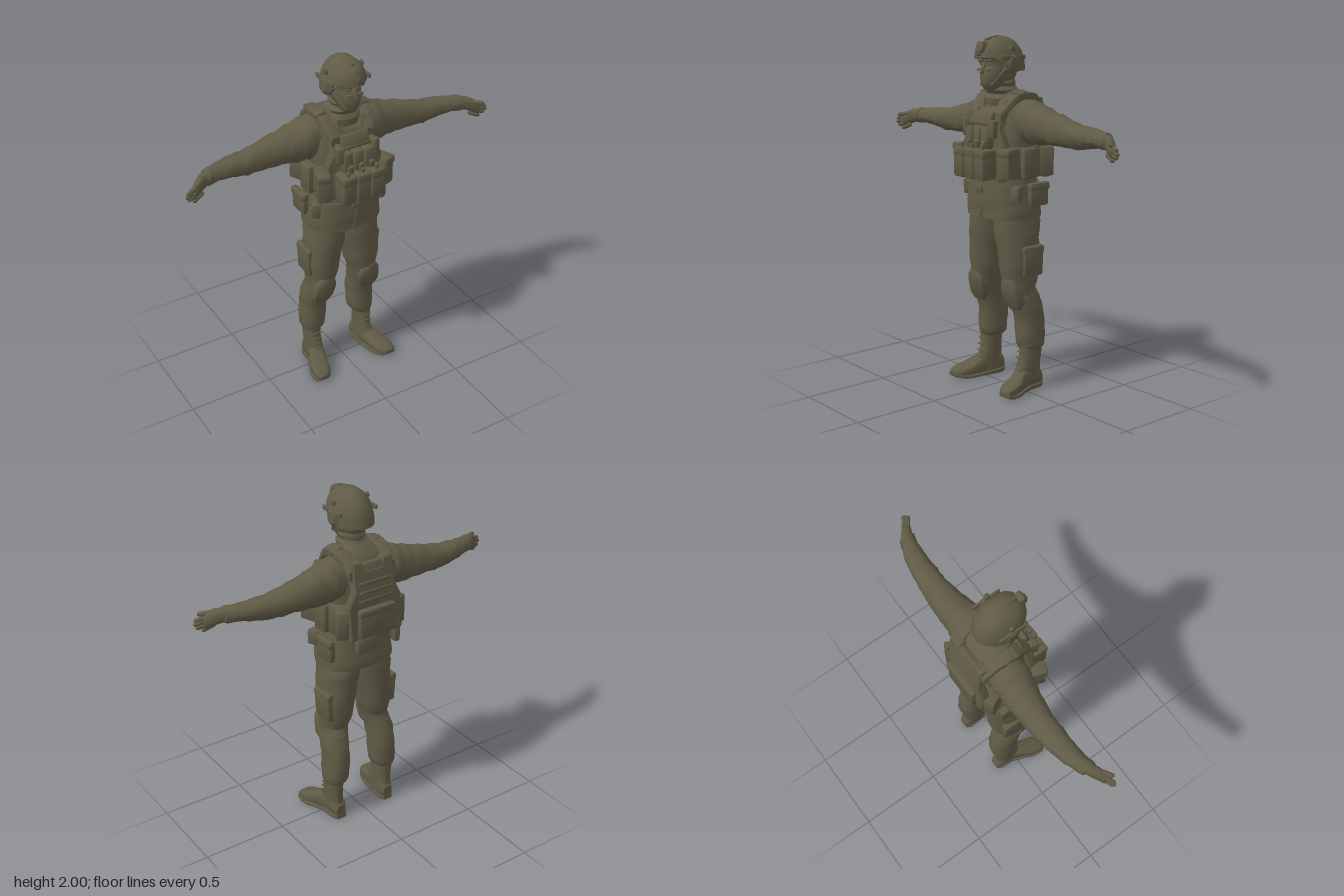
import * as THREE from 'three';
import { toCreasedNormals } from 'three/addons/utils/BufferGeometryUtils.js';
import { RoundedBoxGeometry } from 'three/addons/geometries/RoundedBoxGeometry.js';

const olive = new THREE.MeshStandardMaterial({ color: 0x605b46, side: THREE.DoubleSide });
olive.name = 'olive drab';

// Skin over cross-sections along an axis. Each section: [position, minA, maxA, minB, maxB],
// where A, B are (x, z) for axis y, (y, z) for axis x and (x, y) for axis z.
function loft(axis, sections, { n = 16, power = 2.4, steps = 1, fold = 0 } = {}) {
  const rings = [];
  sections.forEach((s, i) => {
    const next = sections[i + 1];
    if (!next) return rings.push(s);
    for (let k = 0; k < steps; k++) rings.push(s.map((v, j) => v + (next[j] - v) * k / steps));
  });
  const place = (t, a, b) => axis === 'y' ? [a, t, b] : axis === 'x' ? [t, a, b] : [a, b, t];
  const pos = [], index = [];
  const bend = (v) => Math.sign(v) * Math.pow(Math.abs(v), 2 / power);
  rings.forEach(([t, a0, a1, b0, b1], i) => {
    for (let j = 0; j < n; j++) {
      const q = j / n * Math.PI * 2;
      // cloth folds: slanted ridges running around the limb
      const k = 1 + fold * Math.sin(i * 2.3 + 2 * Math.sin(q + i * 0.7)) * Math.cos(q * 2 + i * 1.1);
      const v = bend(Math.sin(q)) * (axis === 'y' ? -1 : 1);
      pos.push(...place(t, (a0 + a1) / 2 + (a1 - a0) / 2 * k * bend(Math.cos(q)),
        (b0 + b1) / 2 + (b1 - b0) / 2 * k * v));
    }
  });
  for (let i = 0; i < rings.length - 1; i++) for (let j = 0; j < n; j++) {
    const a = i * n + j, b = i * n + (j + 1) % n;
    index.push(a, b, b + n, a, b + n, a + n);
  }
  // end caps
  const last = (rings.length - 1) * n, c = rings.length * n;
  for (const [t, a0, a1, b0, b1] of [rings[0], rings[rings.length - 1]])
    pos.push(...place(t, (a0 + a1) / 2, (b0 + b1) / 2));
  for (let j = 0; j < n; j++) {
    const k = (j + 1) % n;
    index.push(c, k, j, c + 1, last + j, last + k);
  }
  const g = new THREE.BufferGeometry();
  g.setAttribute('position', new THREE.Float32BufferAttribute(pos, 3));
  g.setIndex(index);
  return g;
}

function box(x, y, z, w, h, d, { rx = 0, ry = 0, rz = 0, r = 0.012 } = {}) {
  return new RoundedBoxGeometry(w, h, d, 1, Math.min(r, w / 3, h / 3, d / 3))
    .rotateX(rx).rotateY(ry).rotateZ(rz).translate(x, y, z);
}

// Rounded bar between two points
function bar(a, b, r) {
  const p = new THREE.Vector3(...a), q = new THREE.Vector3(...b), d = q.clone().sub(p);
  const g = new THREE.CapsuleGeometry(r, d.length(), 3, 8);
  g.applyQuaternion(new THREE.Quaternion().setFromUnitVectors(new THREE.Vector3(0, 1, 0), d.normalize()));
  return g.translate(...p.add(q).multiplyScalar(0.5).toArray());
}

function mirrored(geo) {
  const g = geo.index ? geo.toNonIndexed() : geo.clone();
  const p = g.attributes.position;
  for (let i = 0; i < p.count; i += 3) {
    const v = [0, 2, 1].map((k) => [-p.getX(i + k), p.getY(i + k), p.getZ(i + k)]);
    v.forEach((c, k) => p.setXYZ(i + k, ...c));
  }
  return g;
}

export function createModel() {
  const model = new THREE.Group();
  model.name = 'soldier';
  const add = (name, geo) => {
    for (const k of ['uv', 'normal']) geo.deleteAttribute(k);
    const mesh = new THREE.Mesh(toCreasedNormals(geo, 0.6), olive);
    mesh.name = name;
    model.add(mesh);
  };
  const pair = (name, geo) => {
    const other = mirrored(geo);
    add('left' + name, geo);
    add('right' + name, other);
  };

  // Jacket
  add('torso', loft('y', [[1.16, -.195, .195, -.16, .15], [1.28, -.185, .185, -.15, .13],
    [1.42, -.19, .19, -.165, .12], [1.54, -.195, .195, -.18, .11], [1.62, -.18, .18, -.16, .08],
    [1.67, -.14, .14, -.13, .05], [1.71, -.07, .07, -.08, .05]], { n: 20 }));
  add('jacketSkirt', loft('y', [[1.0, -.22, .22, -.175, .155], [1.05, -.222, .222, -.175, .157],
    [1.12, -.21, .21, -.165, .16], [1.22, -.19, .19, -.155, .155]], { n: 20, power: 2.7, steps: 2, fold: .015 }));
  add('jacketPlacket', box(0, 1.07, .158, .02, .14, .008, { r: .002 }));

  // Belt and its pouches
  add('belt', loft('y', [[1.135, -.212, .212, -.172, .168], [1.19, -.205, .205, -.168, .166]], { n: 20, power: 2.8 }));
  add('beltBuckle', box(0, 1.163, .168, .06, .045, .014));
  pair('BeltPouch', box(.222, 1.135, -.07, .04, .13, .13, { r: .014 }));
  pair('BeltPouchFlap', box(.228, 1.18, -.07, .04, .045, .138));
  pair('FrontBeltPouch', box(.205, 1.145, .07, .05, .09, .07, { ry: .5 }));
  add('rearBeltPouch', box(.03, 1.15, -.175, .13, .09, .04));

  // Neck scarf
  add('scarf', loft('y', [[1.62, -.10, .10, -.11, .09], [1.66, -.105, .105, -.105, .1],
    [1.685, -.08, .08, -.085, .085], [1.705, -.09, .09, -.085, .095], [1.725, -.068, .068, -.07, .08],
    [1.745, -.076, .076, -.075, .09], [1.77, -.06, .06, -.065, .07]], { n: 14, power: 2, fold: .05 }));

  // Masked head
  add('head', loft('y', [[1.705, -.04, .04, -.01, .115], [1.735, -.06, .06, -.05, .138],
    [1.78, -.075, .075, -.08, .143], [1.82, -.08, .08, -.09, .136], [1.84, -.08, .08, -.09, .124],
    [1.865, -.082, .082, -.09, .126], [1.885, -.085, .085, -.09, .142], [1.93, -.08, .08, -.09, .13]], { n: 16, power: 2.2 }));
  add('nose', bar([0, 1.85, .128], [0, 1.805, .148], .011));
  add('maskEdge', box(0, 1.818, .134, .1, .012, .02, { r: .004 }));
  pair('Eye', box(.031, 1.847, .122, .026, .01, .009, { ry: .25, r: .002 }));
  pair('Brow', box(.034, 1.869, .128, .048, .012, .02, { ry: .28, rz: .12, r: .004 }));

  // Helmet: a dome whose rim rises over the face
  const dome = new THREE.SphereGeometry(1, 24, 8, 0, Math.PI * 2, 0, Math.PI / 2);
  const dp = dome.attributes.position;
  for (let i = 0; i < dp.count; i++) {
    const x = dp.getX(i), y = dp.getY(i), z = dp.getZ(i);
    const ahead = z / (Math.hypot(x, z) || 1);
    const rim = 1.81 + 0.075 * THREE.MathUtils.smoothstep(ahead, 0.1, 0.75);
    dp.setXYZ(i, x * .118, rim + (2.0 - rim) * Math.pow(y, 0.9), .015 + z * .15);
  }
  add('helmet', dome);
  add('nightVisionMount', box(0, 1.94, .15, .06, .065, .04, { rx: -.35 }));
  add('nightVisionLatch', box(0, 1.915, .172, .035, .04, .02));
  add('mountStrap', box(0, 1.99, .075, .022, .012, .09, { rx: .2, r: .004 }));
  pair('HelmetRail', box(.114, 1.885, .02, .014, .026, .17, { r: .005 }));
  pair('HelmetBolt', new THREE.CylinderGeometry(.014, .016, .02, 8).rotateZ(Math.PI / 2).translate(.108, 1.93, .02));
  pair('EarCup', loft('x', [[.075, 1.8, 1.9, -.03, .06], [.112, 1.8, 1.9, -.03, .06], [.127, 1.82, 1.885, -.015, .045]], { n: 12, power: 3 }));
  pair('ChinStrap', bar([.082, 1.82, .05], [.045, 1.735, .115], .008));

  // Plate carrier panels, leaning in towards the shoulders
  const panel = new THREE.Shape([[-.15, 1.22], [.15, 1.22], [.165, 1.42], [.125, 1.5], [.12, 1.65], [.075, 1.65],
    [.055, 1.6], [-.055, 1.6], [-.075, 1.65], [-.12, 1.65], [-.125, 1.5], [-.165, 1.42]].map((p) => new THREE.Vector2(...p)));
  const lean = (z0, side, slope) => {
    const g = new THREE.ExtrudeGeometry(panel, { depth: .035, bevelSize: .008, bevelThickness: .008, bevelSegments: 1 });
    const p = g.attributes.position;
    for (let i = 0; i < p.count; i++)
      p.setZ(i, p.getZ(i) + z0 - side * slope * Math.max(0, p.getY(i) - 1.5));
    return g;
  };
  add('frontPanel', lean(.1, 1, .4));
  add('backPanel', lean(-.213, -1, .2));
  add('backCollarPanel', box(0, 1.595, -.178, .2, .1, .04, { rx: .2 }));
  pair('ShoulderStrap', loft('z', [[-.19, .08, .15, 1.56, 1.62], [-.11, .085, .165, 1.64, 1.69],
    [-.02, .085, .17, 1.655, 1.705], [.05, .085, .165, 1.62, 1.675], [.125, .07, .135, 1.53, 1.59]], { n: 10, power: 4 }));
  pair('StrapPad', box(.135, 1.685, -.02, .07, .035, .09, { rz: -.25 }));
  add('cummerbund', loft('y', [[1.225, -.195, .195, -.19, .15], [1.25, -.205, .205, -.2, .165],
    [1.38, -.205, .205, -.2, .165], [1.4, -.195, .195, -.19, .15]], { n: 20, power: 3 }));

  // Vest pouches
  for (let i = -1; i <= 1; i++) {
    add('magazinePouch', box(i * .089, 1.31, .198, .084, .165, .1));
    add('magazinePouchFlap', box(i * .089, 1.37, .204, .088, .05, .094));
    add('chestPouch', box(i * .066, 1.45, .162, .058, .115, .06, { rx: -.05 }));
    add('magazineTop', box(i * .066 + .008, 1.41, .19, .034, .06, .03, { rx: .2 }));
    add('pouchClip', box(i * .089, 1.392, .22, .022, .06, .02));
  }
  add('adminPouch', box(0, 1.555, .138, .17, .08, .035, { rx: -.35 }));
  add('chestWebbing', box(0, 1.53, .157, .18, .018, .02, { r: .004 }));
  pair('RadioPouch', box(.105, 1.5, .15, .045, .1, .075, { ry: .3 }));
  pair('SidePouch', box(.186, 1.315, .115, .075, .165, .12, { ry: .35 }));
  pair('SidePouchFlap', box(.192, 1.378, .12, .078, .045, .122, { ry: .35 }));
  pair('HipPouch', box(.208, 1.31, -.015, .04, .17, .1));
  pair('RearSidePouch', box(.175, 1.31, -.15, .07, .165, .11, { ry: -.45 }));
  add('rearPack', box(0, 1.31, -.2, .23, .18, .09, { r: .02 }));
  add('rearPackFlap', box(0, 1.375, -.205, .236, .045, .088));
  for (const y of [1.44, 1.49, 1.54])
    add('rearWebbing', box(0, y, -.219 + Math.max(0, y - 1.5) * .2, .21, .02, .014, { r: .004 }));

  // Sleeves with cloth folds
  pair('Sleeve', loft('x', [[.1, 1.42, 1.67, -.15, .05], [.2, 1.415, 1.655, -.16, .06], [.27, 1.412, 1.63, -.155, .045],
    [.35, 1.42, 1.605, -.15, .03], [.48, 1.42, 1.572, -.135, .015], [.56, 1.42, 1.555, -.125, .015],
    [.66, 1.435, 1.548, -.11, .012], [.74, 1.448, 1.54, -.085, .018], [.81, 1.45, 1.533, -.055, .028]],
  { n: 14, power: 2.1, steps: 3, fold: .055 }));
  pair('Cuff', loft('x', [[.775, 1.446, 1.54, -.073, .026], [.80, 1.446, 1.538, -.064, .032], [.815, 1.45, 1.532, -.054, .03]], { n: 14, power: 2.1 }));

  // Gloved hands
  pair('Palm', loft('x', [[.79, 1.46, 1.528, -.055, .015], [.84, 1.445, 1.53, -.03, .038],
    [.88, 1.425, 1.51, -.002, .054], [.905, 1.415, 1.48, .015, .054]], { n: 12 }));
  pair('Thumb', bar([.845, 1.505, .02], [.908, 1.493, .062], .013));
  const tips = [[.935, 1.468, .052], [.942, 1.447, .05], [.93, 1.428, .045], [.9, 1.41, .04]];
  tips.forEach((tip, i) => pair('Finger', bar([.875 - i * .008, 1.485 - i * .018, .025], tip, .012)));

  // Trousers with cargo pockets and knee pads
  pair('TrouserLeg', loft('y', [[.245, .115, .23, -.14, .005], [.265, .095, .24, -.15, .015], [.32, .088, .24, -.155, .022],
    [.42, .085, .235, -.155, .025], [.50, .083, .235, -.14, .05], [.60, .066, .215, -.105, .085],
    [.66, .045, .22, -.13, .10], [.75, .03, .232, -.14, .11], [.88, .004, .222, -.145, .122],
    [.97, -.005, .21, -.162, .13], [1.04, -.01, .2, -.155, .13]], { n: 16, power: 2.2, steps: 2, fold: .035 }));
  pair('CargoPocket', box(.215, .755, -.035, .045, .17, .14, { rz: -.06, r: .014 }));
  pair('CargoPocketFlap', box(.218, .825, -.035, .045, .045, .146, { rz: -.06 }));
  pair('KneePad', loft('y', [[.48, .115, .2, .0, .06], [.52, .088, .222, -.01, .083], [.58, .078, .218, .0, .1],
    [.63, .085, .208, .02, .108], [.66, .11, .185, .04, .102]], { n: 12, power: 2.6 }));
  pair('KneePadStrap', loft('y', [[.535, .077, .23, -.13, .076], [.56, .072, .226, -.122, .08]], { n: 16, power: 2.2 }));

  // Boots, toes turned out
  pair('BootShaft', loft('y', [[.03, .127, .215, -.13, .03], [.10, .127, .217, -.128, .045], [.15, .128, .217, -.125, .02],
    [.21, .13, .222, -.13, .008], [.27, .126, .226, -.134, .01]], { n: 14 }));
  pair('BootFoot', loft('z', [[-.135, .14, .2, .01, .09], [-.11, .127, .214, .01, .12], [-.02, .13, .22, .01, .13],
    [.04, .137, .245, .01, .115], [.09, .147, .268, .01, .085], [.14, .162, .276, .01, .072],
    [.175, .185, .272, .012, .058], [.19, .205, .255, .02, .045]], { n: 14, power: 2.8 }));
  pair('BootSole', loft('z', [[-.137, .14, .2, 0, .028], [-.11, .123, .217, 0, .028], [-.03, .128, .222, 0, .026],
    [.04, .134, .25, .004, .024], [.09, .144, .274, 0, .024], [.14, .16, .281, 0, .024],
    [.178, .185, .275, .008, .03], [.19, .205, .257, .018, .034]], { n: 12, power: 6 }));
  for (let i = 0; i < 4; i++)
    pair('BootLace', bar([.152, .12 + i * .035, .034 - i * .007], [.197, .12 + i * .035, .034 - i * .007], .005));

  return model;
}
